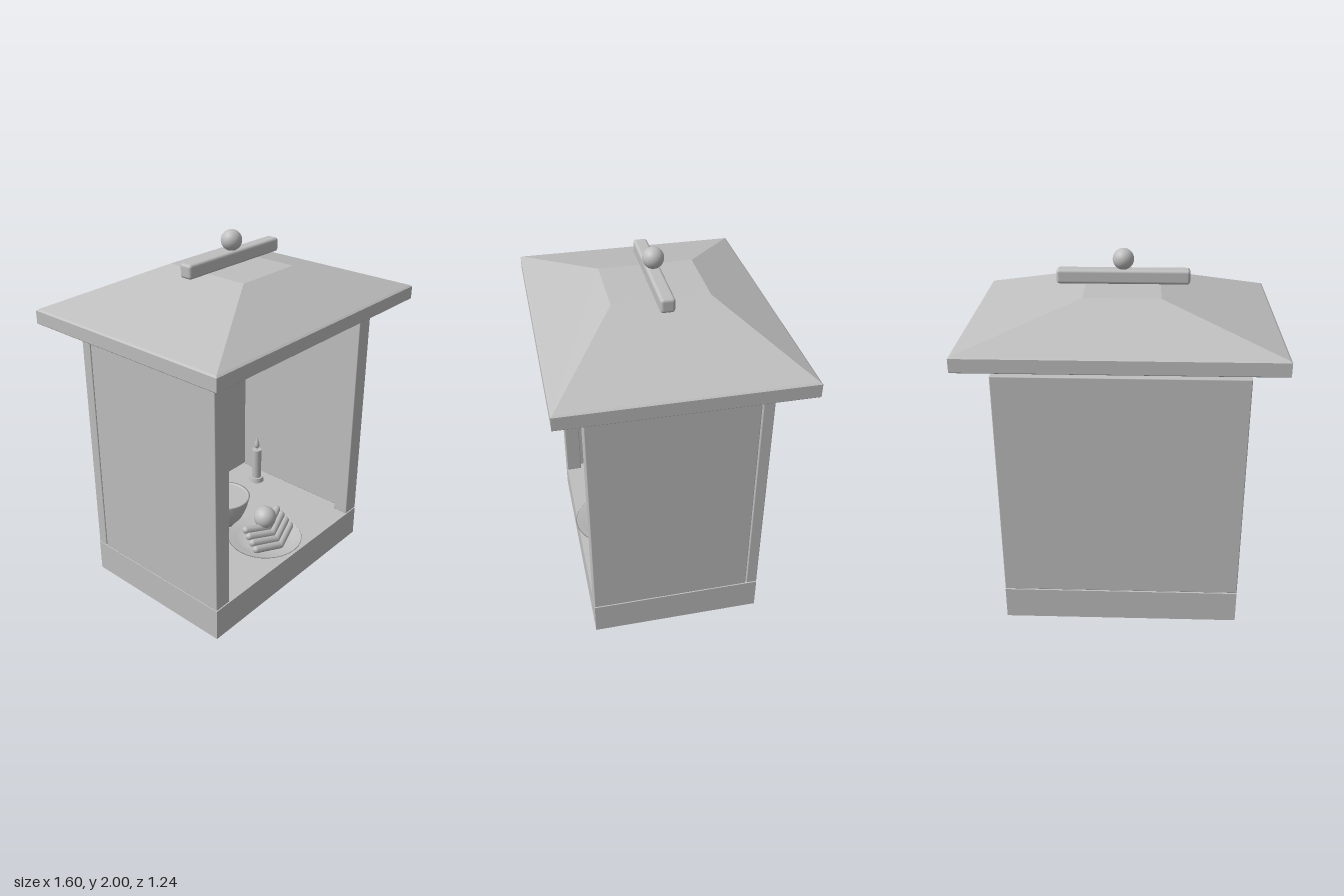
import * as THREE from 'three';
import { RoundedBoxGeometry } from 'three/addons/geometries/RoundedBoxGeometry.js';
import { ConvexGeometry } from 'three/addons/geometries/ConvexGeometry.js';

const stone = new THREE.MeshStandardMaterial({ color: 0xbfbfbf, side: THREE.DoubleSide });
stone.name = 'plain grey';

const FLOOR = 0.185;
const V = (x, y, z) => new THREE.Vector3(x, y, z);

export function createModel() {
  const model = new THREE.Group();
  model.name = 'spiritHouse';

  const add = (name, geometry, x = 0, y = 0, z = 0, parent = model) => {
    const mesh = new THREE.Mesh(geometry, stone);
    mesh.name = name;
    mesh.position.set(x, y, z);
    parent.add(mesh);
    return mesh;
  };
  // box given by its limits on each axis
  const block = (name, x0, x1, y0, y1, z0, z1) =>
    add(name, new RoundedBoxGeometry(x1 - x0, y1 - y0, z1 - z0, 2, 0.005),
      (x0 + x1) / 2, (y0 + y1) / 2, (z0 + z1) / 2);
  const lathe = (points, sides = 32) =>
    new THREE.LatheGeometry(points.map(([r, y]) => new THREE.Vector2(r, y)), sides);

  // base: a box left open underneath (bottom face dropped)
  const base = new THREE.BoxGeometry(1.29, FLOOR, 0.93);
  const index = Array.from(base.index.array);
  index.splice(18, 6);
  base.setIndex(index);
  base.clearGroups();
  add('base', base, 0, FLOOR / 2, 0);

  // walls and front posts
  block('backWall', -0.645, 0.645, 0.19, 1.48, -0.465, -0.405);
  for (const s of [-1, 1]) {
    const side = s < 0 ? 'right' : 'left';
    const span = (a, b) => (s > 0 ? [a, b] : [-b, -a]);
    block(side + 'Wall', ...span(0.59, 0.645), 0.19, 1.48, -0.4, 0.46);
    block(side + 'FrontPost', ...span(0.545, 0.645), 0.19, 1.48, 0.375, 0.465);
  }

  // hipped roof with a flat top
  const corners = [];
  for (const [x, y, z] of [[0.795, 1.56, 0.615], [0.8, 1.565, 0.62], [0.8, 1.633, 0.62], [0.79, 1.64, 0.61], [0.195, 1.815, 0.25]])
    for (const sx of [-1, 1]) for (const sz of [-1, 1]) corners.push(V(sx * x, y, sz * z));
  add('roof', new ConvexGeometry(corners));
  add('ridgeBar', new RoundedBoxGeometry(0.69, 0.075, 0.074, 3, 0.016), 0, 1.857, 0);
  add('finialBall', new THREE.SphereGeometry(0.055, 32, 20), 0, 1.945, 0);

  // candles and cups, mirrored
  for (const s of [-1, 1]) {
    const candle = new THREE.Group();
    candle.name = s < 0 ? 'rightCandle' : 'leftCandle';
    candle.position.set(s * 0.49, FLOOR, -0.21);
    model.add(candle);
    add('candleHolder', new THREE.CylinderGeometry(0.043, 0.048, 0.03, 24), 0, 0.015, 0, candle);
    add('candleStick', new THREE.CylinderGeometry(0.03, 0.03, 0.205, 24), 0, 0.13, 0, candle);
    add('wick', new THREE.CylinderGeometry(0.004, 0.004, 0.025, 8), 0, 0.24, 0, candle);
    add('flame', lathe([[0, 0], [0.013, 0.008], [0.018, 0.022], [0.012, 0.045], [0, 0.078]], 16), 0, 0.242, 0, candle);

    add(s < 0 ? 'rightCup' : 'leftCup',
      lathe([[0, 0], [0.03, 0], [0.046, 0.068], [0.04, 0.068], [0.036, 0.05], [0, 0.05]], 24), s * 0.235, FLOOR, -0.19);
  }

  // incense bowl with ash
  add('incenseBowl', lathe([[0, 0], [0.08, 0], [0.115, 0.055], [0.14, 0.115], [0.157, 0.18], [0.145, 0.18], [0.14, 0.168]]), 0, FLOOR, -0.06);
  add('ash', new THREE.CylinderGeometry(0.142, 0.142, 0.006, 32), 0, 0.352, -0.06);

  // incense sticks: foot and tip
  const sticks = [
    [V(-0.05, 0.34, -0.13), V(-0.038, 0.73, -0.16)],
    [V(-0.03, 0.34, 0.0), V(-0.01, 0.735, -0.03)],
    [V(0.028, 0.34, -0.06), V(0.06, 0.8, -0.09)],
    [V(0.073, 0.34, -0.12), V(0.075, 0.69, -0.11)],
  ];
  for (const [foot, tip] of sticks)
    add('incenseStick', new THREE.TubeGeometry(new THREE.LineCurve3(foot, tip), 1, 0.004, 8));

  // offering plate, slightly sunk in the floor
  add('plate', lathe([[0, -0.008], [0.13, -0.004], [0.18, 0.018], [0.217, 0.038], [0.213, 0.042], [0.17, 0.026], [0.12, 0.012], [0, 0.01]]), 0, FLOOR, 0.26);

  // pile of bent fruit, stacked towards the back
  for (let i = 0; i < 4; i++) {
    const w = 0.155 - i * 0.005, y = 0.215 + i * 0.028, z = 0.355 - i * 0.03;
    for (const s of [-1, 1]) {
      const half = new THREE.LineCurve3(V(0, y, z + 0.02), V(s * w, y + 0.028, z - 0.03));
      add('bentFruit', new THREE.TubeGeometry(half, 1, 0.022, 10));
      add('fruitTip', new THREE.SphereGeometry(0.022, 10, 8), s * w, y + 0.028, z - 0.03);
    }
    add('fruitMiddle', new THREE.SphereGeometry(0.022, 10, 8), 0, y, z + 0.02);
  }
  add('roundFruit', new THREE.SphereGeometry(0.065, 32, 20), 0, 0.355, 0.26);

  return model;
}
